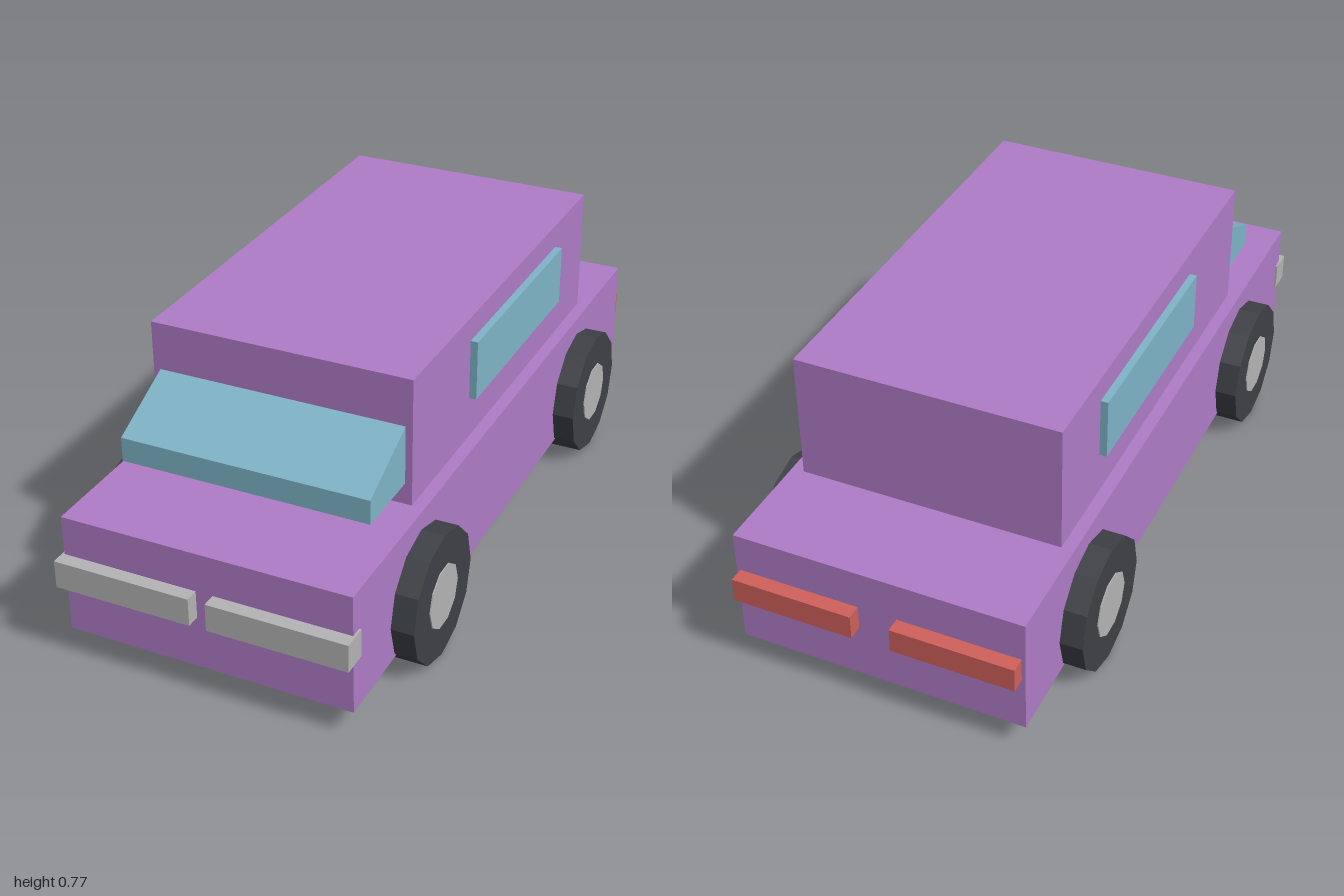
import * as THREE from 'three';

const material = (color) => new THREE.MeshStandardMaterial({ color, flatShading: true });

export function createModel() {
  const car = new THREE.Group();
  car.name = 'car';

  const paint = material(0xb07cc8);
  const glass = material(0x7fb5c8);
  const rubber = material(0x3e4146);
  const metal = material(0xb4b4b6);
  const red = material(0xd0605a);

  const add = (name, geometry, mat) => {
    const mesh = new THREE.Mesh(geometry, mat);
    mesh.name = name;
    car.add(mesh);
    return mesh;
  };

  // Box given by its lower and upper limits on each axis
  const box = (name, mat, [x0, x1], [y0, y1], [z0, z1]) =>
    add(name, new THREE.BoxGeometry(x1 - x0, y1 - y0, z1 - z0), mat)
      .position.set((x0 + x1) / 2, (y0 + y1) / 2, (z0 + z1) / 2);

  // Lower body and cabin
  box('body', paint, [-0.395, 0.395], [0.08, 0.414], [-0.96, 0.962]);
  box('cabin', paint, [-0.361, 0.361], [0.414, 0.767], [-0.672, 0.554]);

  // Wedge windshield: side profile (z, y) extruded across the car
  const profile = new THREE.Shape([
    [0.55, 0.473], [0.755, 0.473], [0.755, 0.54], [0.55, 0.637],
  ].map(([z, y]) => new THREE.Vector2(z, y)));
  const wedge = new THREE.ExtrudeGeometry(profile, { depth: 0.684, bevelEnabled: false });
  wedge.translate(0, 0, -0.342).rotateY(-Math.PI / 2);
  add('windshield', wedge, glass);

  // Paired parts, mirrored left and right
  for (const [label, s] of [['left', 1], ['right', -1]]) {
    const span = (a, b) => (s > 0 ? [a, b] : [-b, -a]);
    box(label + 'Window', glass, span(0.34, 0.381), [0.532, 0.699], [-0.437, 0.192]);
    box(label + 'Headlight', metal, span(0.023, 0.401), [0.228, 0.305], [0.93, 1]);
    box(label + 'TailLight', red, span(0.053, 0.385), [0.236, 0.304], [-1, -0.93]);

    for (const [end, z] of [['Front', 0.572], ['Rear', -0.577]]) {
      const tire = new THREE.CylinderGeometry(0.181, 0.181, 0.097, 12).rotateZ(Math.PI / 2);
      add(label + end + 'Tire', tire, rubber).position.set(s * 0.4085, 0.182, z);
      const hub = new THREE.CylinderGeometry(0.088, 0.088, 0.1, 10).rotateZ(Math.PI / 2);
      add(label + end + 'Hub', hub, metal).position.set(s * 0.41, 0.182, z);
    }
  }
  return car;
}
